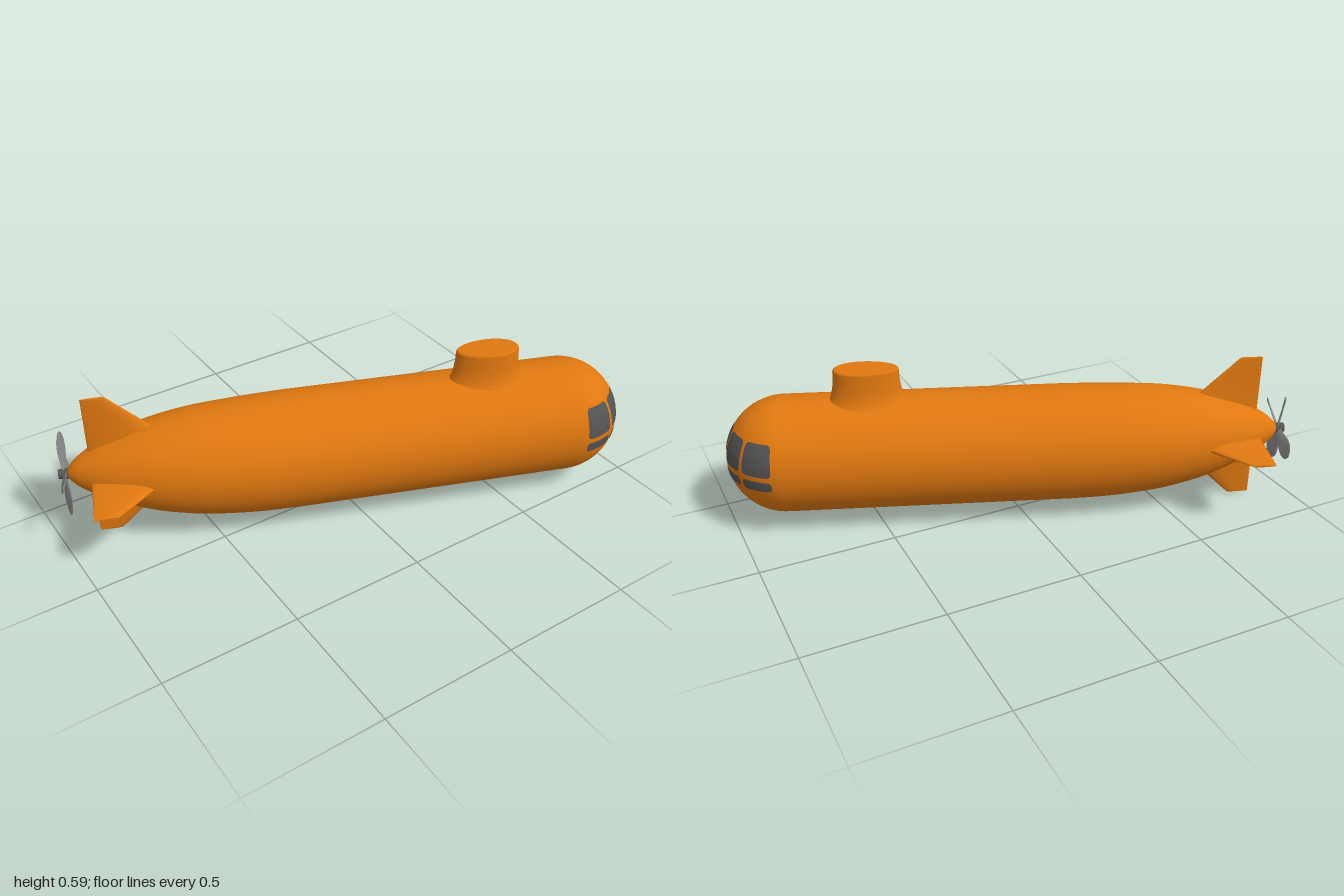
import * as THREE from 'three';

const orange = new THREE.MeshStandardMaterial({ color: 0xe07810 });
orange.name = 'hullOrange';
const glass = new THREE.MeshStandardMaterial({ color: 0x545454 });
glass.name = 'windowGrey';
const metal = new THREE.MeshStandardMaterial({ color: 0x8c8c8c });
metal.name = 'propellerGrey';

const R = 0.2175, AXIS_Y = 0.257, TAIL_Y = 0.277, NOSE_X = 0.838;

// Smooth skin over rows of points (rows go up, points turn from +x to +z).
function skin(rows, closed, caps) {
  const n = rows[0].length, pos = rows.flat(2), idx = [];
  for (let j = 0; j < rows.length - 1; j++) {
    for (let i = 0; i < (closed ? n : n - 1); i++) {
      const a = j * n + i, b = j * n + (i + 1) % n;
      idx.push(a, a + n, b, b, a + n, b + n);
    }
  }
  if (caps) {
    [rows[0], rows[rows.length - 1]].forEach((ring, k) => {
      const base = pos.length / 3;
      pos.push(...ring.flat());
      for (let i = 1; i < n - 1; i++) {
        if (k) idx.push(base, base + i + 1, base + i);
        else idx.push(base, base + i, base + i + 1);
      }
    });
  }
  const g = new THREE.BufferGeometry();
  g.setAttribute('position', new THREE.Float32BufferAttribute(pos, 3));
  g.setIndex(idx);
  g.computeVertexNormals();
  return g;
}

function ring(n, fn) {
  return Array.from({ length: n }, (_, i) => fn((i / n) * Math.PI * 2));
}

function add(parent, name, geometry, material) {
  const m = new THREE.Mesh(geometry, material);
  m.name = name;
  parent.add(m);
  return m;
}

// Torpedo hull: tapered tail, straight middle, round nose
function hullGeometry() {
  const tail = new THREE.SplineCurve([
    [-1.0, 0.02], [-0.97, 0.05], [-0.92, 0.083], [-0.85, 0.118], [-0.724, 0.163],
    [-0.6, 0.19], [-0.5, 0.203], [-0.35, 0.2135], [-0.2, R],
  ].map(([s, r]) => new THREE.Vector2(r, s))).getPoints(40);
  const pts = [new THREE.Vector2(0, -1.0), ...tail];
  for (let i = 0; i <= 28; i++) {
    const a = (i / 28) * Math.PI / 2;
    pts.push(new THREE.Vector2(R * Math.cos(a), NOSE_X + R * Math.sin(a)));
  }
  const g = new THREE.LatheGeometry(pts, 72);
  g.rotateZ(-Math.PI / 2);
  // the tail sits slightly above the main axis
  const p = g.attributes.position;
  for (let i = 0; i < p.count; i++) {
    const k = THREE.MathUtils.smoothstep(-p.getX(i), 0.3, 1.0);
    p.setY(i, p.getY(i) + AXIS_Y + (TAIL_Y - AXIS_Y) * k);
  }
  return g;
}

// Conning tower: oval with a flared foot and softened rim
function towerGeometry() {
  const profile = [[0.42, 0.055], [0.447, 0.04], [0.462, 0.026], [0.48, 0.014],
    [0.51, 0.006], [0.55, 0.001], [0.58, 0], [0.585, -0.002], [0.588, -0.006]];
  const rows = profile.map(([y, f]) => ring(56, a => [
    0.529 + (0.118 + f) * Math.cos(a), y,
    (0.062 + f * 0.8) * Math.sin(a) * (1 + 0.1 * Math.cos(a))]));
  return skin(rows, true, true);
}

// Swept tail fin growing along +y from the axis
function finGeometry() {
  const rows = [[0.05, 0.07], [0.12, 0.05], [0.16, 0.034], [0.21, 0.024],
    [0.28, 0.013], [0.287, 0.008]].map(([r, th]) => {
    const lead = -0.713 - (r - 0.165) * 1.04, trail = -0.922;
    return ring(28, a => [
      (lead + trail) / 2 + (lead - trail) / 2 * Math.cos(a), r,
      th / 2 * Math.sin(a) * (0.8 + 0.4 * Math.cos(a))]);
  });
  return skin(rows, true, true);
}

// Twisted paddle blade along +y
function bladeGeometry() {
  const rows = [[0.008, 0.01], [0.03, 0.013], [0.06, 0.021], [0.09, 0.029],
    [0.12, 0.031], [0.14, 0.025], [0.15, 0.016], [0.155, 0.005]].map(([r, w]) => {
    const twist = 0.75 - r * 3;
    return ring(16, a => {
      const c = w * Math.cos(a), t = 0.003 * Math.sin(a);
      return [c * Math.sin(twist) + t * Math.cos(twist), r,
        -(c * Math.cos(twist) - t * Math.sin(twist))];
    });
  });
  rows.forEach(r => r.reverse());
  const g = skin(rows, true, true);
  // keep the faces pointing outward for this ring direction
  g.computeBoundingBox();
  return orientOutward(g);
}

// Flip a thin closed solid if its signed volume is negative
function orientOutward(g) {
  const p = g.attributes.position, ix = g.index.array;
  const [a, b, c] = [0, 1, 2].map(() => new THREE.Vector3());
  let volume = 0;
  for (let i = 0; i < ix.length; i += 3) {
    a.fromBufferAttribute(p, ix[i]);
    b.fromBufferAttribute(p, ix[i + 1]);
    c.fromBufferAttribute(p, ix[i + 2]);
    volume += a.dot(b.cross(c));
  }
  if (volume < 0) {
    for (let i = 0; i < ix.length; i += 3) [ix[i], ix[i + 1]] = [ix[i + 1], ix[i]];
    g.computeVertexNormals();
  }
  return g;
}

// Curved window pane with rounded corners, lying on the nose
function paneGeometry(from, to, y0, y1, corner) {
  const rows = [], N = 14, rad = Math.PI / 180, r0 = R + 0.002;
  for (let j = 0; j <= N; j++) {
    const y = (y0 + y1) / 2 - (y1 - y0) / 2 * Math.cos((j / N) * Math.PI);
    const d = Math.max(0, corner - Math.min(y - y0, y1 - y));
    const inset = corner - Math.sqrt(Math.max(0, corner * corner - d * d));
    const rr = Math.sqrt(r0 * r0 - (y - AXIS_Y) ** 2);
    const a0 = from * rad + inset / rr, a1 = to * rad - inset / rr;
    rows.push(Array.from({ length: 13 }, (_, i) => {
      const a = a0 + (a1 - a0) * i / 12;
      return [NOSE_X + rr * Math.cos(a), y, rr * Math.sin(a)];
    }));
  }
  return skin(rows, false, false);
}

export function createModel() {
  const model = new THREE.Group();
  model.name = 'submarine';
  const boat = new THREE.Group();
  boat.name = 'boat';
  boat.position.z = 0.04;
  boat.rotation.y = -20.9 * Math.PI / 180;
  model.add(boat);

  add(boat, 'hull', hullGeometry(), orange);
  add(boat, 'conningTower', towerGeometry(), orange);

  // Four tail fins
  const fin = finGeometry();
  ['topFin', 'leftFin', 'bottomFin', 'rightFin'].forEach((name, i) => {
    const f = add(boat, name, fin, orange);
    f.position.y = i % 2 ? TAIL_Y : 0.288;
    f.rotation.x = i * Math.PI / 2;
  });

  // Two rows of nose windows
  const spans = [[-81, -50], [-46, -16.5], [-13, 13], [16.5, 46], [50, 81]];
  for (const [from, to] of spans) {
    add(boat, 'upperWindow', paneGeometry(from, to, 0.272, 0.385, 0.014), glass);
    add(boat, 'lowerWindow', paneGeometry(from, to, 0.214, 0.253, 0.014), glass);
  }

  // Propeller
  const propeller = new THREE.Group();
  propeller.name = 'propeller';
  propeller.position.set(-1.012, TAIL_Y, 0);
  boat.add(propeller);
  const hub = new THREE.CylinderGeometry(0.021, 0.017, 0.045, 24);
  hub.rotateZ(-Math.PI / 2);
  add(propeller, 'hub', hub, glass);
  const blade = bladeGeometry();
  for (let i = 0; i < 4; i++) {
    add(propeller, 'blade', blade, metal).rotation.x = -0.31 + i * Math.PI / 2;
  }
  return model;
}
